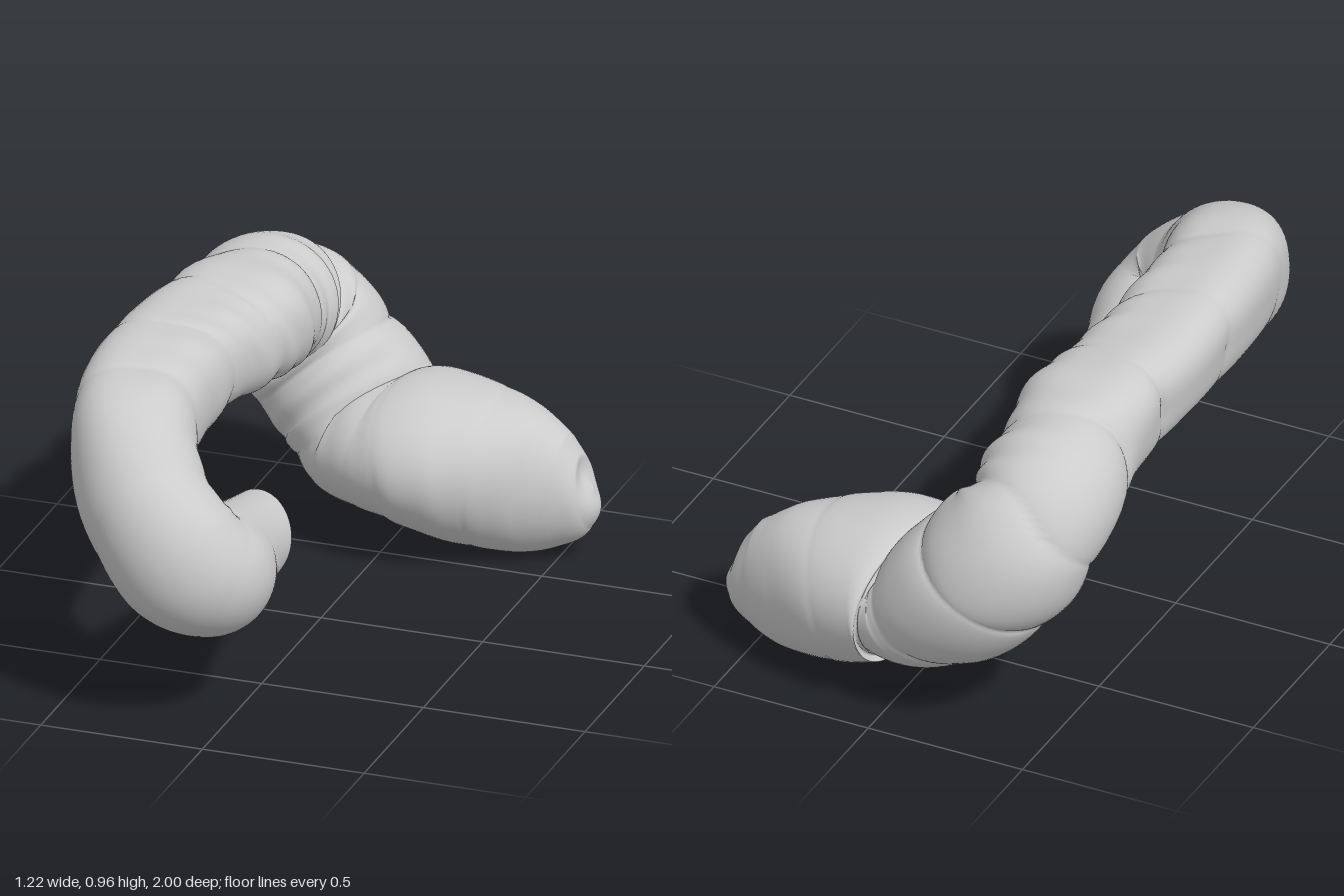
import * as THREE from 'three';

// Path stations: centre x, y, z, then half width, half height and fold depth
const STATIONS = [
  [-0.085, 0.385, 0.31, 0.125, 0.112, 0],
  [-0.09, 0.40, 0.45, 0.14, 0.14, 0],
  [-0.09, 0.42, 0.60, 0.17, 0.17, 0],
  [-0.08, 0.445, 0.74, 0.19, 0.19, 0.02],
  [-0.15, 0.52, 0.805, 0.19, 0.205, 0.03],
  [-0.265, 0.64, 0.755, 0.19, 0.20, 0.04],
  [-0.35, 0.745, 0.62, 0.185, 0.20, 0.06],
  [-0.39, 0.78, 0.42, 0.18, 0.18, 0.06],
  [-0.40, 0.79, 0.20, 0.185, 0.17, 0.08],
  [-0.395, 0.785, 0.0, 0.185, 0.16, 0.1],
  [-0.365, 0.77, -0.2, 0.20, 0.17, 0.15],
  [-0.36, 0.75, -0.38, 0.20, 0.175, 0.16],
  [-0.385, 0.72, -0.54, 0.21, 0.19, 0.16],
  [-0.385, 0.67, -0.66, 0.21, 0.205, 0.15],
  [-0.35, 0.59, -0.735, 0.22, 0.225, 0.13],
  [-0.27, 0.49, -0.75, 0.245, 0.23, 0.11],
  [-0.17, 0.385, -0.735, 0.25, 0.22, 0.1],
  [-0.08, 0.30, -0.69, 0.265, 0.195, 0.06],
  [0.0, 0.295, -0.655, 0.28, 0.20, 0.03],
  [0.09, 0.295, -0.645, 0.31, 0.22, 0.02],
  [0.25, 0.255, -0.66, 0.265, 0.235, 0.03],
  [0.40, 0.22, -0.67, 0.185, 0.218, 0.02],
  [0.51, 0.21, -0.67, 0.125, 0.172, 0],
  [0.575, 0.215, -0.67, 0.08, 0.11, 0],
  [0.60, 0.225, -0.67, 0.0, 0.0, 0],
];
const RINGS = 420, SIDES = 72;

const spline = (from) => new THREE.CatmullRomCurve3(
  STATIONS.map((s) => new THREE.Vector3(s[from], s[from + 1], s[from + 2])), false, 'catmullrom', 0.5);

// Broad rounded pouches parted by narrow creases, with shallow wrinkles between
function foldScale(u, angle, depth) {
  const phase = (u - 9.9) / 1.7 + 0.1 * Math.sin(angle + 0.6 * u) + 0.06 * Math.sin(2 * angle + 1.3 * u);
  const pouch = Math.sqrt(Math.abs(Math.sin(Math.PI * phase)));
  const wrinkle = Math.sin(Math.PI * (phase * 4.4 + 0.5 * Math.sin(angle))) * Math.max(0, Math.cos(angle - 0.3));
  const bands = 0.7 + 0.3 * Math.cos(3 * angle + 0.4 * u);
  return 1 + depth * (0.25 - bands * (1 - pouch) + 0.18 * wrinkle);
}

// The arch is flattened on top, with a fuller outer upper edge
function archScale(u, angle) {
  const arch = THREE.MathUtils.smoothstep(u, 5, 7) * (1 - THREE.MathUtils.smoothstep(u, 10, 12.5));
  const edge = Math.max(0, Math.cos(angle - Math.PI * 0.75)) ** 6;
  return 1 + arch * (0.16 * edge - 0.03 * Math.cos(4 * angle));
}

function createTubeGeometry() {
  const path = spline(0), size = spline(3);
  const up = new THREE.Vector3(0, 1, 0);
  const positions = [], index = [];
  for (let i = 0; i <= RINGS; i++) {
    const t = i / RINGS, u = t * (STATIONS.length - 1);
    const centre = path.getPoint(t), s = size.getPoint(t);
    const tangent = path.getTangent(t);
    const side = new THREE.Vector3().crossVectors(tangent, up).normalize();
    const top = new THREE.Vector3().crossVectors(side, tangent);
    const slant = Math.max(0, 1 - u / 2) ** 2; // bevels the open mouth
    for (let j = 0; j < SIDES; j++) {
      const a = (j / SIDES) * Math.PI * 2;
      const k = foldScale(u, a, Math.max(0, s.z)) * archScale(u, a);
      const offset = side.clone().multiplyScalar(Math.cos(a) * Math.max(0, s.x) * k)
        .addScaledVector(top, Math.sin(a) * Math.max(0, s.y) * k);
      const p = centre.clone().add(offset);
      p.z += slant * (0.4 * offset.x - 0.5 * offset.y);
      positions.push(p.x, p.y, p.z);
      if (i < RINGS) {
        const n = (j + 1) % SIDES, r0 = i * SIDES, r1 = r0 + SIDES;
        index.push(r0 + j, r1 + j, r0 + n, r1 + j, r1 + n, r0 + n);
      }
    }
  }
  const geometry = new THREE.BufferGeometry();
  geometry.setAttribute('position', new THREE.Float32BufferAttribute(positions, 3));
  geometry.setIndex(index);
  geometry.computeVertexNormals();
  return geometry;
}

export function createModel() {
  const model = new THREE.Group();
  model.name = 'largeIntestine';
  // One continuous folded tube: open mouth, arch, descending loop, closed pouch
  const tube = new THREE.Mesh(createTubeGeometry(),
    new THREE.MeshStandardMaterial({ color: 0xcccccc, side: THREE.DoubleSide }));
  tube.name = 'foldedTube';
  model.add(tube);
  return model;
}
